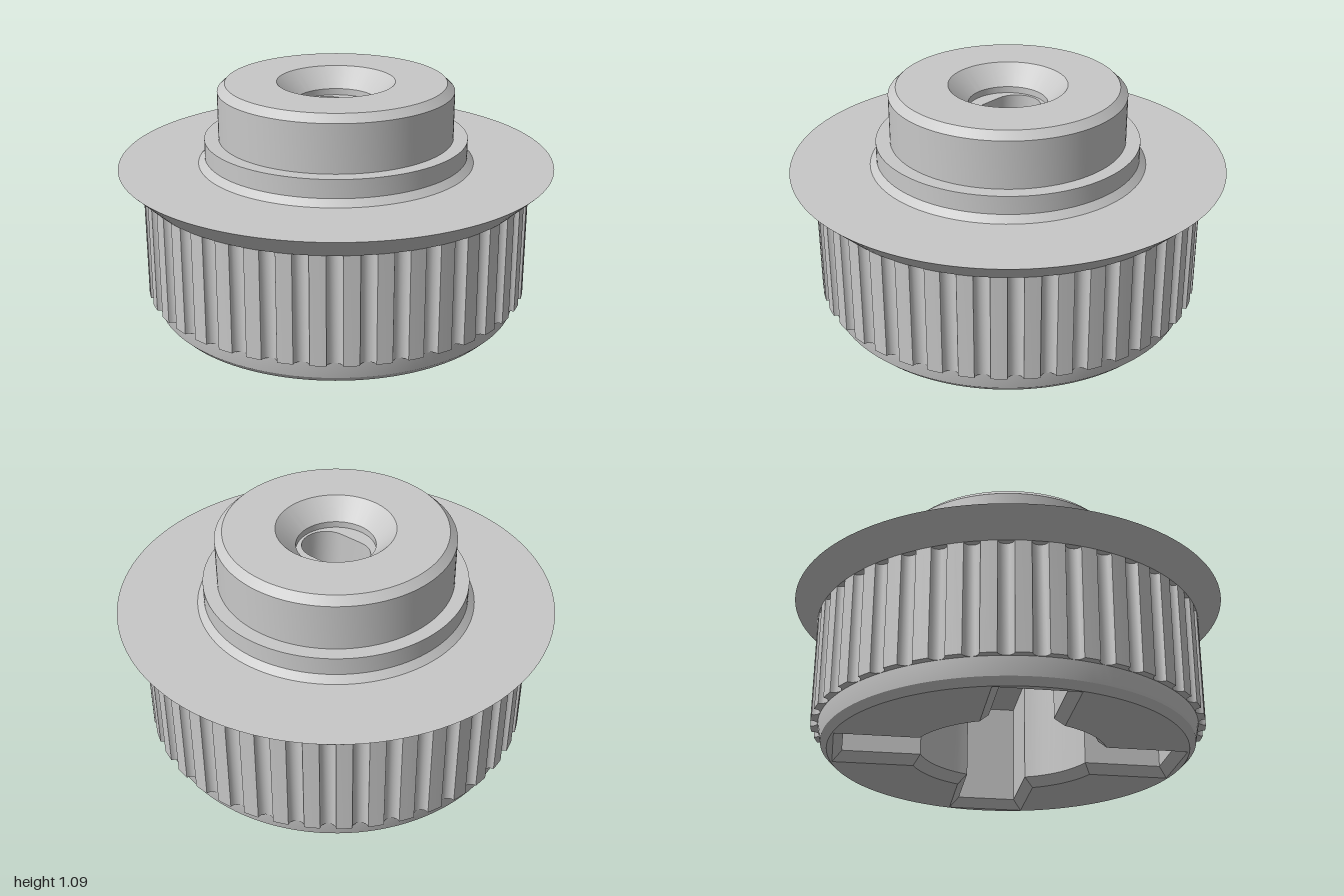
import * as THREE from 'three';
import { toCreasedNormals } from 'three/addons/utils/BufferGeometryUtils.js';

const V = (x, y) => new THREE.Vector2(x, y);
const polar = (r, a) => V(r * Math.cos(a), r * Math.sin(a));

// Turned surface; upward profiles face out, downward profiles face in
function turned(points) {
  const g = new THREE.LatheGeometry(points.map(([r, y]) => V(r, y)), 120);
  return toCreasedNormals(g, 0.3);
}

// Wall through outlines listed from top to bottom, facing inward
function loft(loops, crease = 0.4) {
  const pos = [], idx = [], n = loops[0].pts.length;
  for (const { pts, y } of loops) for (const p of pts) pos.push(p.x, y, -p.y);
  for (let j = 0; j < loops.length - 1; j++) {
    for (let i = 0; i < n; i++) {
      const a = j * n + i, b = j * n + (i + 1) % n;
      idx.push(a, b, b + n, a, b + n, a + n);
    }
  }
  const g = new THREE.BufferGeometry();
  g.setAttribute('position', new THREE.Float32BufferAttribute(pos, 3));
  g.setIndex(idx);
  return toCreasedNormals(g, crease);
}

// Flat face at height y, facing up or down, with an optional hole
function flat(outline, hole, y, up) {
  const s = new THREE.Shape(outline);
  if (hole) s.holes.push(new THREE.Path(hole));
  return new THREE.ShapeGeometry(s).rotateX(up ? -Math.PI / 2 : Math.PI / 2).translate(0, y, 0);
}

const circle = (r, n = 120) => Array.from({ length: n }, (_, i) => polar(r, i / n * Math.PI * 2));

// Socket: round pocket with four diagonal slots, grown by o
const POCKET = 0.41, SLOT = 0.14, REACH = 0.742;
function socketOutline(o) {
  const R = POCKET + o, w = SLOT + o, e = REACH + o, pts = [];
  const a0 = Math.asin(w / R), inner = Math.sqrt(R * R - w * w);
  for (let k = 0; k < 4; k++) {
    const turn = Math.PI / 4 + k * Math.PI / 2;
    const add = p => pts.push(p.rotateAround(V(0, 0), turn));
    [[inner, -w], [e, -w], [e, w], [inner, w]].forEach(([x, y]) => add(V(x, y)));
    for (let i = 1; i < 12; i++) add(polar(R, a0 + (Math.PI / 2 - 2 * a0) * i / 12));
  }
  return pts;
}

// Oblong shaft hole, long along x
function oblong() {
  const pts = [];
  for (const side of [0, 1]) {
    for (let i = 0; i <= 16; i++) {
      const p = polar(0.11, -Math.PI / 2 + Math.PI * (side + i / 16));
      p.x += side ? -0.058 : 0.058;
      pts.push(p);
    }
  }
  return pts;
}

// Toothed rim outline with rounded grooves
function toothOutline(count) {
  const pts = [], pitch = Math.PI * 2 / count;
  for (let k = 0; k < count; k++) {
    for (const t of [-1, -0.94, -0.75, -0.4, 0, 0.4, 0.75, 0.94, 1]) {
      pts.push(polar(0.89 - 0.032 * Math.sqrt(1 - t * t), k * pitch + t * pitch / 4));
    }
    pts.push(polar(0.89, (k + 0.5) * pitch));
  }
  return pts;
}

export function createModel() {
  const group = new THREE.Group();
  const grey = new THREE.MeshStandardMaterial({ color: 0xc8c8c8 });
  grey.name = 'grey';
  const add = (name, geometry) => {
    const m = new THREE.Mesh(geometry, grey);
    m.name = name;
    group.add(m);
    return m;
  };

  // Tapered base with its lower bevel
  add('base', turned([[0.812, 0], [0.842, 0.03], [0.857, 0.11], [0.857, 0.61]]));

  // Ring of teeth
  const teeth = new THREE.Shape(toothOutline(40));
  teeth.holes.push(new THREE.Path(circle(0.82)));
  const rim = new THREE.ExtrudeGeometry(teeth, { depth: 0.502, bevelEnabled: false });
  add('toothedRim', toCreasedNormals(rim.rotateX(-Math.PI / 2).translate(0, 0.11, 0), 0.6));

  // Flange and stepped hub
  add('flange', turned([[0.85, 0.61], [0.89, 0.61], [1, 0.715], [0.635, 0.715]]));
  add('hub', turned([[0.635, 0.715], [0.605, 0.745], [0.605, 0.83], [0.54, 0.83],
    [0.54, 1.052], [0.505, 1.086], [0.27, 1.086]]));

  // Countersink and oblong shaft hole
  const hole = oblong(), seatY = 0.968, roofY = 0.75, slotY = 0.53;
  add('countersink', turned([[0.27, 1.086], [0.18, 0.998], [0.18, seatY]]));
  add('countersinkSeat', flat(circle(0.18), hole, seatY, true));
  add('shaftHole', loft([{ pts: hole, y: seatY }, { pts: hole, y: roofY }]));

  // Pocket above the slots
  add('pocketRoof', flat(circle(POCKET), hole, roofY, false));
  add('pocketWall', turned([[POCKET, roofY], [POCKET, slotY]]));

  // Bevelled socket walls and underside; the bevel stays inside the base edge
  const bevel = 0.042, inner = socketOutline(0), outer = socketOutline(bevel);
  add('socketWall', loft([{ pts: inner, y: slotY }, { pts: inner, y: bevel }, { pts: outer, y: 0 }]));
  add('underside', flat(circle(0.812), outer, 0, false));

  // Slot roofs
  const a = Math.asin(SLOT / POCKET);
  const roof = [V(REACH, -SLOT), V(REACH, SLOT)];
  for (let i = 0; i <= 10; i++) roof.push(polar(POCKET, a - 2 * a * i / 10));
  for (let k = 0; k < 4; k++) {
    add('slotRoof', flat(roof, null, slotY, false)).rotation.y = Math.PI / 4 + k * Math.PI / 2;
  }
  return group;
}
